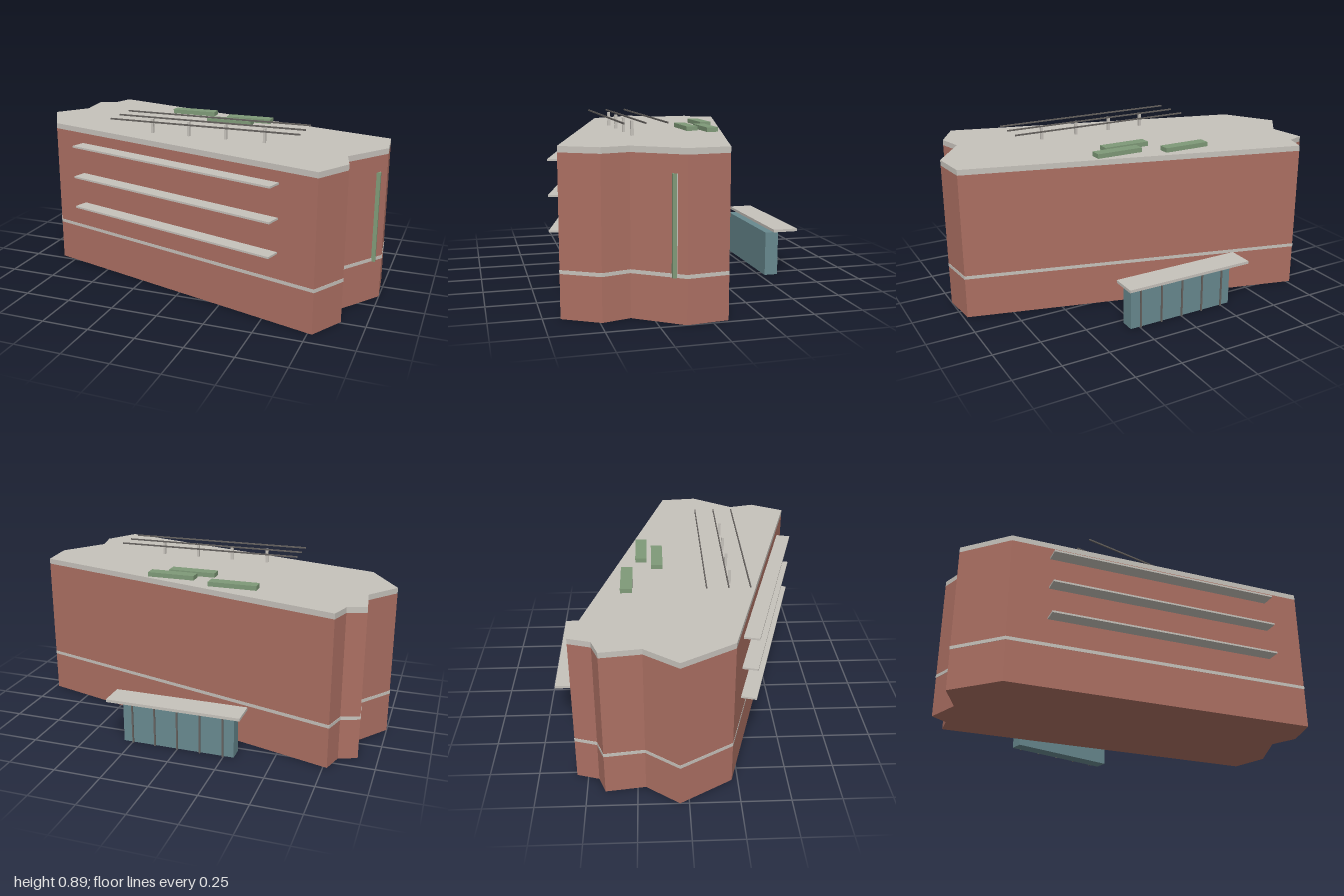
import * as THREE from 'three';

const mat = (name, color) => {
  const m = new THREE.MeshStandardMaterial({ color });
  m.name = name;
  return m;
};

export function createModel() {
  const model = new THREE.Group();
  model.name = 'building';
  const brick = mat('brick', 0xab6f62);
  const concrete = mat('concrete', 0xc6c2bb);
  const green = mat('green', 0x7f9a78);
  const glass = mat('glass', 0x68898f);
  const metal = mat('dark metal', 0x66625f);

  const add = (name, geometry, material, x = 0, y = 0, z = 0) => {
    const m = new THREE.Mesh(geometry, material);
    m.name = name;
    m.position.set(x, y, z);
    model.add(m);
    return m;
  };
  // box given by its extents on each axis
  const box = (name, material, x0, x1, y0, y1, z0, z1) =>
    add(name, new THREE.BoxGeometry(x1 - x0, y1 - y0, z1 - z0), material,
      (x0 + x1) / 2, (y0 + y1) / 2, (z0 + z1) / 2);

  // faceted footprint (x, z), shared by walls, band and parapet
  const footprint = [
    [-0.77, -0.558], [0.98, -0.08], [1, 0.125], [0.84, 0.35], [0.875, 0.49], [0.773, 0.668],
    [-0.84, 0.22], [-1, -0.045], [-0.875, -0.21], [-0.9, -0.41], [-0.805, -0.445],
  ];
  const slab = (name, material, y0, y1, scale = 1) => {
    const shape = new THREE.Shape(footprint.map(([x, z]) => new THREE.Vector2(x * scale, -z * scale)));
    const g = new THREE.ExtrudeGeometry(shape, { depth: y1 - y0, bevelEnabled: false });
    g.rotateX(-Math.PI / 2);
    return add(name, g, material, 0, y0, 0);
  };
  slab('walls', brick, 0, 0.775);
  slab('parapet', concrete, 0.775, 0.804);
  slab('stringCourse', concrete, 0.216, 0.234, 1.002);

  // sunshades along the slanted front wall
  for (const y of [0.368, 0.541, 0.714]) {
    const shade = add('sunshade', new THREE.BoxGeometry(1.266, 0.01, 0.08), concrete, -0.045, y, 0.482);
    shade.rotation.y = -Math.atan(0.2755);
  }

  // climbing strip on the right-hand notch
  box('greenStrip', green, 0.952, 0.977, 0.215, 0.69, 0.168, 0.186);
  box('stripRail', concrete, 0.955, 0.973, 0.215, 0.69, 0.162, 0.167);

  // roof planters
  for (const [x, z] of [[-0.2, -0.293], [0.163, -0.218], [0.075, -0.132]])
    box('planter', green, x - 0.129, x + 0.129, 0.804, 0.828, z - 0.031, z + 0.031);

  // rooftop pergola: posts and long rods
  for (const x of [-0.235, -0.027, 0.18, 0.39])
    box('pergolaPost', concrete, x - 0.007, x + 0.007, 0.804, 0.881, 0.233, 0.248);
  for (const z of [0.108, 0.218, 0.326])
    box('pergolaRod', metal, -0.44, 0.597, 0.879, 0.887, z - 0.003, z + 0.003);

  // rear entrance with canopy
  box('entranceGlass', glass, -0.303, 0.3, 0, 0.241, -0.604, -0.53);
  for (let i = -2; i <= 2; i++)
    box('mullion', metal, i * 0.123 - 0.004, i * 0.123 + 0.004, 0, 0.241, -0.616, -0.609);
  box('canopy', concrete, -0.358, 0.354, 0.252, 0.267, -0.692, -0.556);

  return model;
}
